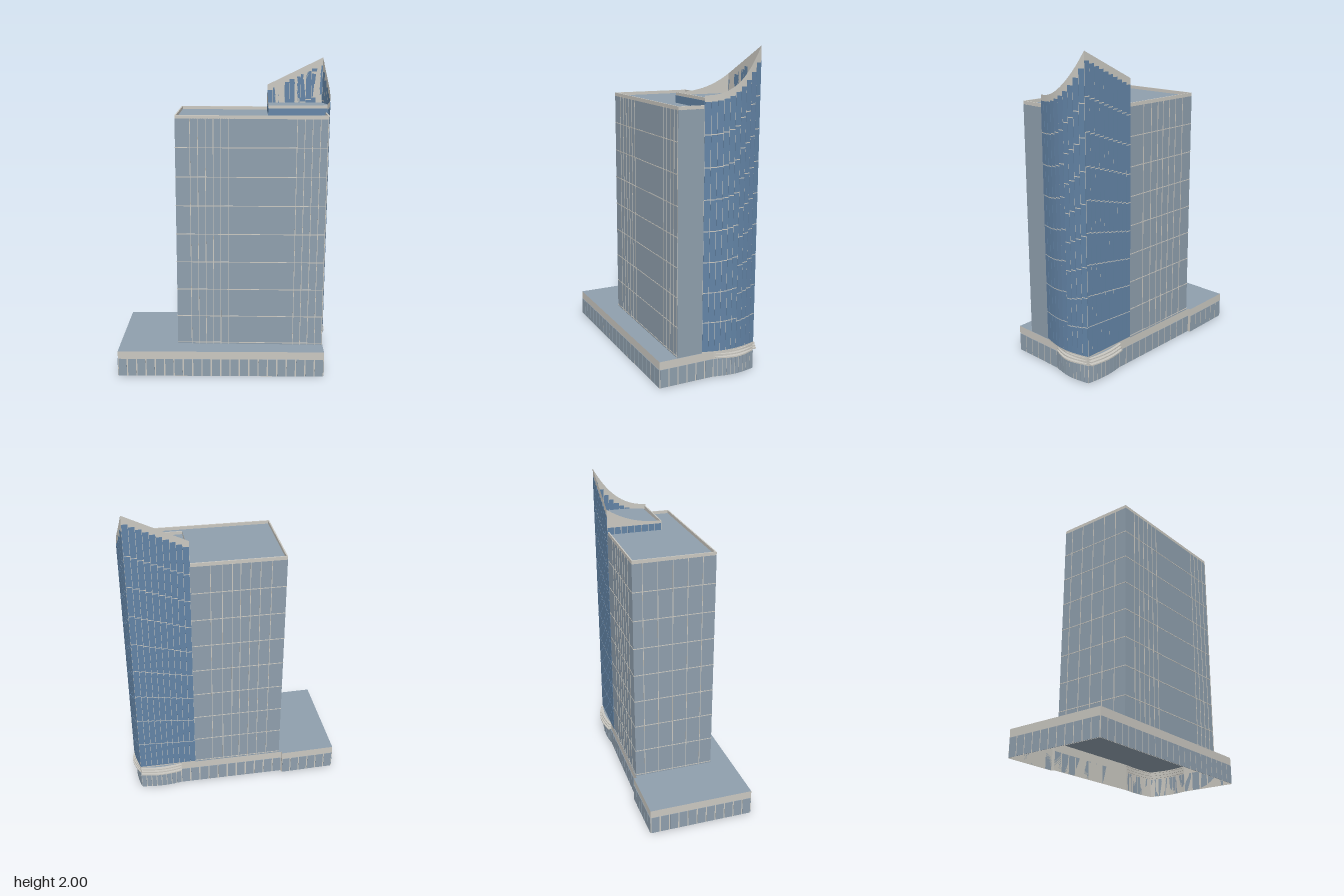
import * as THREE from 'three';
import { mergeGeometries } from 'three/addons/utils/BufferGeometryUtils.js';

const mat = (name, color, side = THREE.FrontSide) => {
  const m = new THREE.MeshStandardMaterial({ color, side });
  m.name = name;
  return m;
};

// Plan points are [x, z]; walls run front, right, back, left so that they face outward.
const lerp = (a, b, t) => [a[0] + (b[0] - a[0]) * t, a[1] + (b[1] - a[1]) * t];

// Thin upright plate on the wall a-b, between fractions u0..u1 and heights y0..y1
function plate(a, b, u0, u1, y0, y1, proud = 0.004) {
  const p = lerp(a, b, u0), q = lerp(a, b, u1);
  const dx = q[0] - p[0], dz = q[1] - p[1], len = Math.hypot(dx, dz);
  const g = new THREE.BoxGeometry(len, y1 - y0, proud);
  g.translate(0, 0, proud / 2);
  g.rotateY(Math.atan2(-dz, dx));
  g.translate((p[0] + q[0]) / 2, (y0 + y1) / 2, (p[1] + q[1]) / 2);
  return g;
}

// Upright sheet along a path, with a top that varies with the fraction t
function sheet(path, y0, top) {
  const n = path.length - 1;
  const g = new THREE.PlaneGeometry(1, 1, n, 1);
  const pos = g.attributes.position;
  path.forEach(([x, z], i) => {
    pos.setXYZ(i, x, top(i / n), z);
    pos.setXYZ(i + n + 1, x, y0, z);
  });
  g.computeVertexNormals();
  return g;
}

// Flat outline in plan, optionally with thickness
function slab(points, y, depth) {
  const s = new THREE.Shape(points.map(([x, z]) => new THREE.Vector2(x, -z)));
  const g = depth ? new THREE.ExtrudeGeometry(s, { depth, bevelEnabled: false }) : new THREE.ShapeGeometry(s);
  g.rotateX(-Math.PI / 2);
  g.translate(0, y, 0);
  return g;
}

const range = (n, f) => Array.from({ length: n }, (_, i) => f(i));
// Gently bowed paths beside the rounded corner
const rightBow = (x, bulge, z0, z1, n = 10) =>
  range(n + 1, i => [x + bulge * Math.sin(Math.PI * i / n), z0 + (z1 - z0) * i / n]);
const backBow = (z, bulge, x0, x1, n = 8) =>
  range(n + 1, i => [x0 + (x1 - x0) * i / n, z - bulge * Math.sin(Math.PI * i / n)]);

export function createModel() {
  const root = new THREE.Group();
  root.name = 'officeTower';
  const stone = mat('stone', 0xcac8c1, THREE.DoubleSide);
  const glass = mat('paleGlass', 0x8f9fad);
  const deepGlass = mat('deepBlueGlass', 0x6384a6);
  const roofing = mat('roofing', 0x8f9fad, THREE.DoubleSide);
  const add = (name, geo, material) => {
    const m = new THREE.Mesh(Array.isArray(geo) ? mergeGeometries(geo) : geo, material);
    m.name = name;
    root.add(m);
  };

  // Podium: hollow walls, flat roof, rows of windows
  const podiumTop = 0.17;
  const FL = [-0.69, 0.353], FR = [0.64, 0.333];
  const podRight = rightBow(0.64, 0.022, -0.03, -0.312);
  const podBack = backBow(-0.312, 0.013, 0.64, 0.37);
  const stepIn = [-0.33, -0.312], stepOut = [-0.33, -0.33], BL = [-0.69, -0.322];
  const outline = [FL, FR, ...podRight, ...podBack.slice(1), stepIn, stepOut, BL];
  add('podiumWalls', outline.map((p, i) =>
    sheet([p, outline[(i + 1) % outline.length]], 0, () => podiumTop)), stone);
  add('podiumRoof', slab(outline, podiumTop), roofing);
  const windows = [];
  const windowRow = (a, b, n) => {
    for (let i = 0; i < n; i++) windows.push(plate(a, b, (i + 0.07) / n, (i + 0.93) / n, 0.002, 0.118, 0.003));
  };
  windowRow(FL, FR, 22);
  windowRow(FR, podRight[0], 6);
  [podRight, podBack].forEach(path => path.slice(1).forEach((p, i) => windowRow(path[i], p, 1)));
  windowRow(podBack[podBack.length - 1], stepIn, 11);
  windowRow(stepOut, BL, 6);
  windowRow(BL, FL, 11);
  add('podiumWindows', windows, glass);

  // Tower block
  const x0 = -0.31, x1 = 0.637, zb = -0.31, zf = 0.215, roofY = 1.655, towerTop = 1.675;
  const body = new THREE.BoxGeometry(x1 - x0, roofY - podiumTop, zf - zb);
  body.translate((x0 + x1) / 2, (roofY + podiumTop) / 2, (zf + zb) / 2);
  add('towerBody', body, glass);

  // Parapet around the tower roof
  const corners = [[x0, zf], [x1, zf], [x1, zb], [x0, zb]];
  const side = i => [corners[i], corners[(i + 1) % 4]];
  add('parapet', range(4, i => {
    const [a, b] = side(i);
    return plate(b, a, 0, 1, roofY - 0.002, towerTop, 0.008);
  }), stone);

  // Tower mullions and floor lines
  const lines = [];
  const uprights = (a, b, fractions) => {
    const half = 0.002 / Math.hypot(b[0] - a[0], b[1] - a[1]);
    fractions.forEach(u => lines.push(plate(a, b, u - half, u + half, podiumTop, roofY, 0.002)));
  };
  const [front, , back, left] = range(4, side);
  uprights(...front, [-0.218, -0.17, -0.122, -0.074, -0.027, 0.02, 0.443, 0.49, 0.538, 0.586, 0.632]
    .map(x => (x - x0) / (x1 - x0)));
  uprights(...back, [-0.218, -0.15, -0.09, -0.03, 0.02, 0.08, 0.15].map(x => (x1 - x) / (x1 - x0)));
  uprights(...left, [0.12, 0.3, 0.48, 0.66, 0.84]);
  for (let y = 0.18; y < roofY; y += 0.185)
    [front, back, left].forEach(([a, b]) => lines.push(plate(a, b, 0, 1, y - 0.002, y + 0.003, 0.0015)));
  add('towerMullions', lines, stone);

  // Corner sail: bowed right wall with a sweeping top, straight back wall with a sloping top
  const sx = 0.27, sf = 0.05, sb = -0.313, edge = 0.64, peak = 2;
  const sweep = t => 1.73 + (peak - 1.73) * Math.pow(t, 2.4);
  const slope = t => peak - 0.18 * t;
  const sailRight = rightBow(edge, 0.033, sf, sb, 20);
  const sailBack = range(11, i => lerp([edge, sb], [sx, sb], i / 10));
  add('sailRightWall', sheet(sailRight, podiumTop, sweep), stone);
  add('sailBackWall', sheet(sailBack, podiumTop, slope), stone);
  const panes = [];
  const glaze = (a, b, top, rows) => {
    const h = (top - 0.18) / rows;
    for (let r = 0; r < rows; r++)
      panes.push(plate(a, b, 0.03, 0.97, 0.18 + r * h, 0.18 + (r + 1) * h - 0.006, 0.002));
  };
  for (let i = 0; i < 10; i++) {
    glaze(sailRight[2 * i], sailRight[2 * i + 2], sweep(i / 10) - 0.03, i < 6 ? 8 : 9);
    glaze(sailBack[i], sailBack[i + 1], slope((i + 1) / 10) - 0.03, 9);
  }
  add('sailGlass', panes, deepGlass);

  // Penthouse behind the sail: side wall with concave top, front band, glass strip, roof
  const sideWall = range(13, i => [sx, sb + (sf - sb) * i / 12]);
  add('penthouseSideWall', sheet(sideWall, roofY, t => 1.718 + 0.102 * Math.pow(1 - t, 2.4)), stone);
  const pf = [[sx, sf - 0.008], [edge, sf - 0.008]];
  add('penthouseFrontWall', plate(...pf, 0, 1, roofY, 1.718, 0.008), stone);
  add('penthouseRoof', slab([[sx, sf - 0.008], ...sailRight.slice(1), [sx, sb]], 1.7), roofing);
  const strip = range(8, i => plate([sx, sb], [sx, sf], (i + 0.05) / 8, (i + 0.95) / 8, roofY, 1.7, 0.002));
  strip.push(plate([sx, sf], [edge, sf], 0, 1, roofY, 1.7, 0.002));
  add('penthouseGlass', strip, deepGlass);

  // Layered entrance canopies wrapping the corner
  const blades = [];
  [0, 1, 2].forEach(k => {
    const y = 0.125 + k * 0.018, cut = k * 0.006;
    blades.push(slab([...rightBow(0.649 - cut / 2, 0.039 - cut / 2, -0.04, -0.305),
      ...rightBow(0.637, 0.02, -0.04, -0.305).reverse()], y, 0.008));
    blades.push(slab([...backBow(-0.339 + cut, 0.018, 0.637, 0.367),
      ...backBow(-0.309, 0.012, 0.637, 0.367).reverse()], y, 0.008));
  });
  add('entranceCanopies', blades, stone);

  return root;
}
